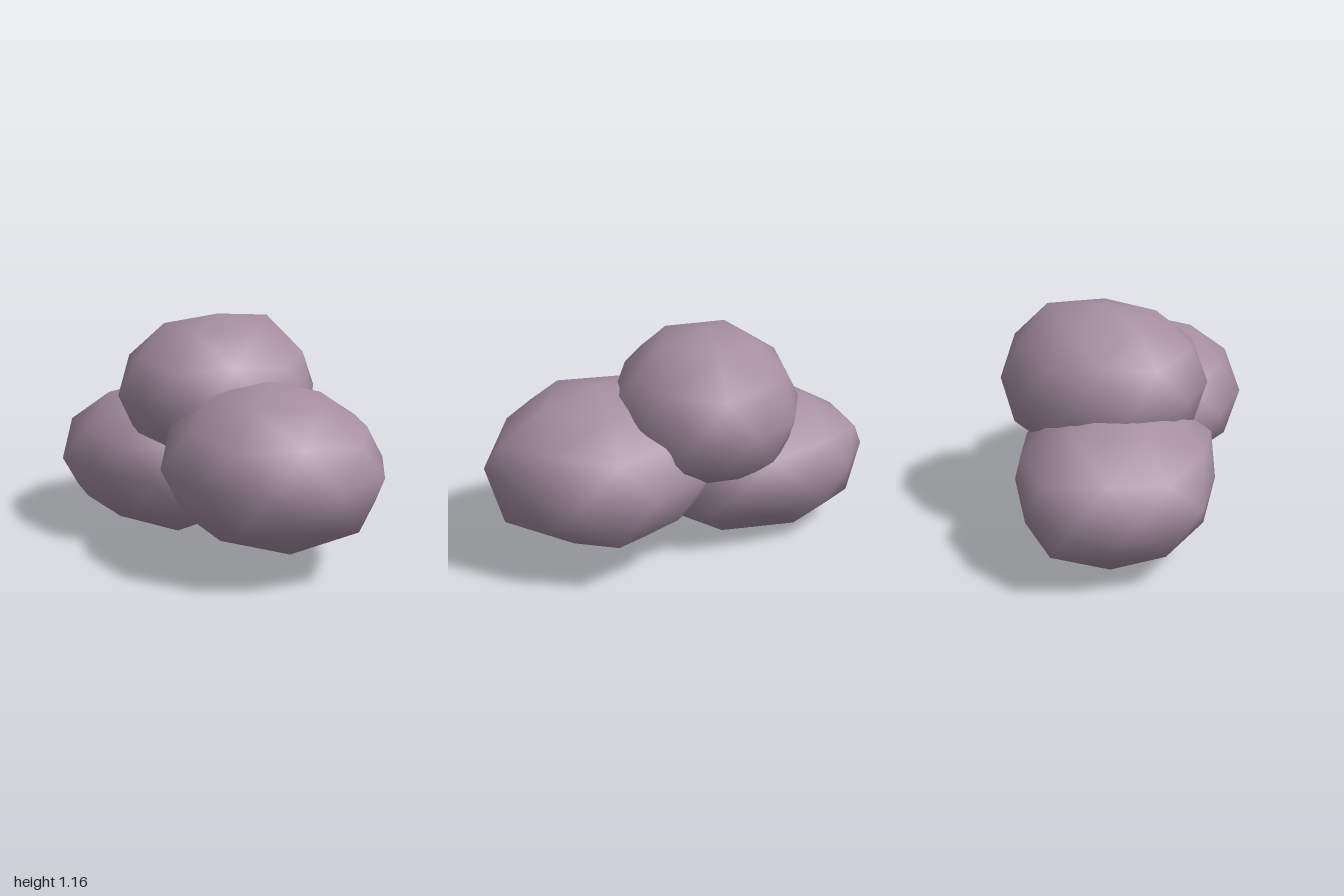
import * as THREE from 'three';
import { mergeVertices } from 'three/addons/utils/BufferGeometryUtils.js';

const material = new THREE.MeshStandardMaterial({ color: 0xa68fa2 });

// Smooth low-poly boulder: an icosphere standing on a corner, with single corners pushed in or out.
// bumps: [height on the unit sphere, degrees round y from +z towards +x, new radius of that corner]
function boulder(name, centre, radii, bumps) {
  let geo = new THREE.IcosahedronGeometry(1, 1);
  geo.deleteAttribute('uv');
  geo.deleteAttribute('normal');
  geo = mergeVertices(geo, 1e-3);
  geo.rotateX(-Math.atan((1 + Math.sqrt(5)) / 2)); // corner to the top
  geo.rotateY(Math.PI / 2);

  const pos = geo.attributes.position;
  const v = new THREE.Vector3();
  const dir = new THREE.Vector3();
  for (let i = 0; i < pos.count; i++) {
    v.fromBufferAttribute(pos, i);
    let radius = 1;
    for (const [height, degrees, r] of bumps) {
      dir.setFromSphericalCoords(1, Math.acos(height), THREE.MathUtils.degToRad(degrees));
      if (dir.dot(v) > 0.96) radius = r;
    }
    v.multiplyScalar(radius);
    pos.setXYZ(i, v.x, v.y, v.z);
  }
  geo.scale(...radii);
  geo.computeVertexNormals();

  const mesh = new THREE.Mesh(geo, material);
  mesh.name = name;
  mesh.position.set(...centre);
  return mesh;
}

export function createModel() {
  const group = new THREE.Group();
  group.name = 'boulderPile';
  group.add(
    boulder('frontBoulder', [0.07, 0.513, 0.42], [0.54, 0.397, 0.58], [
      [0.85, 90, 0.95], [0.85, 18, 0.97],
      [0.526, 342, 0.95], [0.526, 54, 0.95], [0.447, 18, 1.03],
      [0, 72, 1.02], [0, 108, 1.02],
      [-0.526, 90, 1.1], [-0.526, 18, 1.07],
      [-0.85, 270, 1.02], [-0.85, 342, 1.04],
    ]),
    boulder('topBoulder', [0.07, 0.765, -0.1], [0.515, 0.395, 0.485], [
      [0.85, 90, 1.08], [0.85, 234, 1.02],
      [0.526, 270, 1.04], [0.526, 342, 0.95],
      [0.447, 90, 1.03], [0.447, 162, 0.94],
      [0, 144, 0.97],
    ]),
    boulder('backBoulder', [-0.1, 0.38, -0.38], [0.52, 0.378, 0.62], [
      [0.526, 198, 0.96],
      [0, 36, 0.92], [0, 108, 0.92], [0, 144, 0.91],
      [0, 216, 0.9], [0, 288, 0.9], [0, 324, 0.88],
      [-0.447, 126, 0.93], [-0.447, 198, 0.94], [-0.447, 270, 0.95],
      [-0.526, 90, 0.87], [-0.526, 306, 0.89],
      [-0.85, 270, 0.95],
    ]),
  );
  return group;
}
